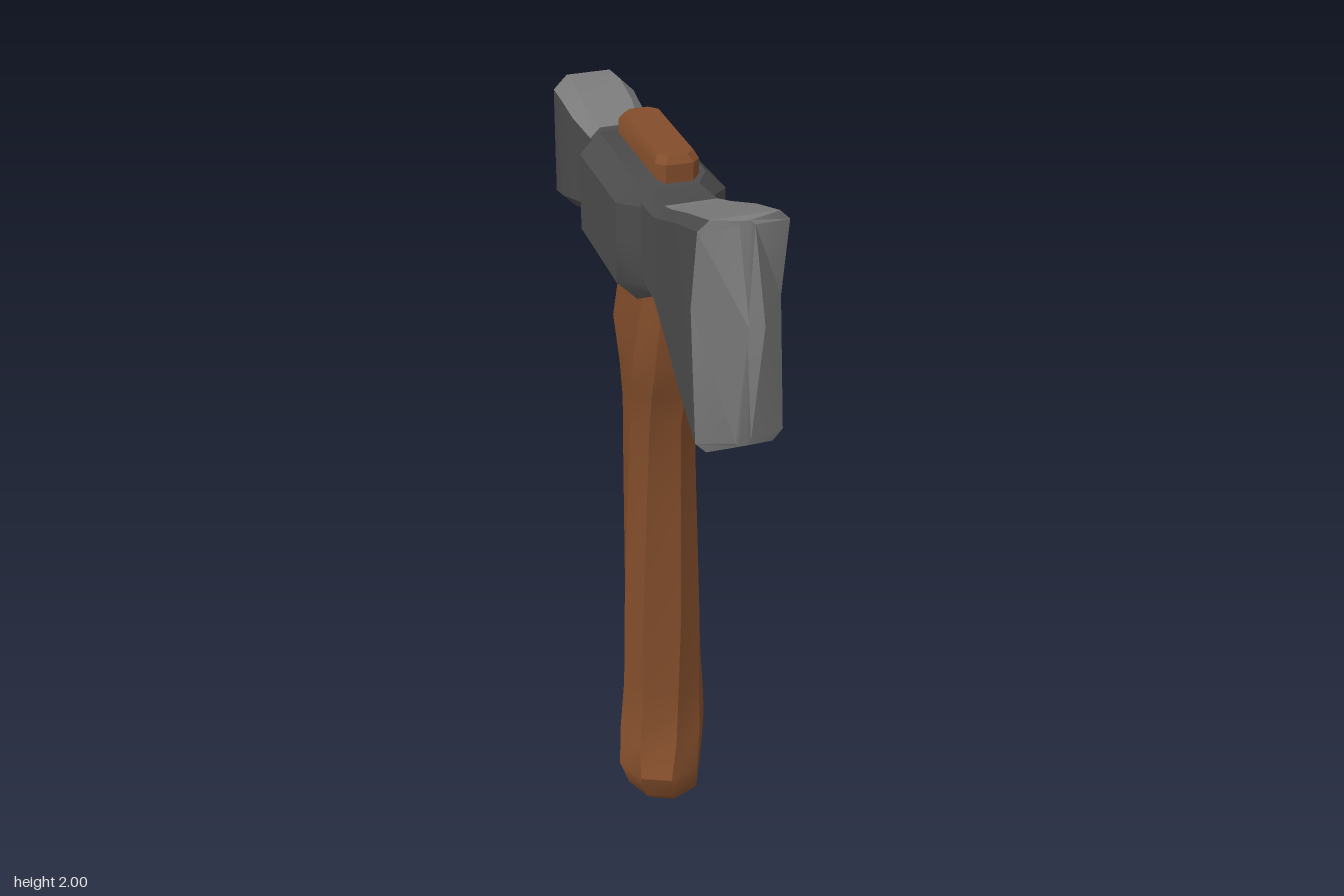
import * as THREE from 'three';
import { toCreasedNormals } from 'three/addons/utils/BufferGeometryUtils.js';

// Skin a list of equal-length rings, cap both ends; matOf(ring, edge) picks the material slot.
function loft(rings, matOf, capMats = [0, 0], crease = 0.55) {
  const n = rings[0].length, last = rings.length - 1;
  const points = rings.flat();
  const slots = [[], []];
  for (let k = 0; k < last; k++) {
    for (let i = 0; i < n; i++) {
      const j = (i + 1) % n, a = k * n + i, b = k * n + j;
      slots[matOf(k, i)].push(a, b, b + n, a, b + n, a + n);
    }
  }
  [0, last].forEach((k, end) => {
    const centre = rings[k].reduce((s, p) => s.add(p), new THREE.Vector3()).divideScalar(n);
    const c = points.push(centre) - 1;
    for (let i = 0; i < n; i++) {
      const a = k * n + i, b = k * n + (i + 1) % n;
      slots[capMats[end]].push(c, ...(end ? [a, b] : [b, a]));
    }
  });
  const geo = new THREE.BufferGeometry().setFromPoints(points);
  geo.setIndex(slots.flat());
  geo.addGroup(0, slots[0].length, 0);
  if (slots[1].length) geo.addGroup(slots[0].length, slots[1].length, 1);
  return toCreasedNormals(geo, crease);
}

// Chamfered head section across z; the z value may bow from middle height to the ends.
function headRing([zMid, hw, y0, y1, c, zTop = zMid, zLow = zMid, ym = (y0 + y1) / 2]) {
  const w = hw - c;
  return [
    [hw, ym], [hw, y1 - c], [w, y1], [-w, y1], [-hw, y1 - c],
    [-hw, ym], [-hw, y0 + c], [-w, y0], [w, y0], [hw, y0 + c],
  ].map(([x, y]) => {
    const t = y > ym ? (y - ym) / (y1 - ym) : (ym - y) / (ym - y0);
    return new THREE.Vector3(x, y, THREE.MathUtils.lerp(zMid, y > ym ? zTop : zLow, t));
  });
}

// Chamfered handle section at height y, twisted about the vertical axis.
function handleRing([y, cx, cz, hx, hz, twist, c]) {
  const s = Math.sin(twist), k = Math.cos(twist);
  const a = hx - c, b = hz - c;
  return [
    [a, hz], [hx, b], [hx, -b], [a, -hz], [-a, -hz], [-hx, -b], [-hx, b], [-a, hz],
  ].map(([x, z]) => new THREE.Vector3(cx + x * k + z * s, y, cz - x * s + z * k));
}

export function createModel() {
  const wood = new THREE.MeshStandardMaterial({ color: 0x824d2b });
  const darkSteel = new THREE.MeshStandardMaterial({ color: 0x4b4b4b });
  const brightSteel = new THREE.MeshStandardMaterial({ color: 0x7b7b7b });
  wood.name = 'wood';
  darkSteel.name = 'darkSteel';
  brightSteel.name = 'brightSteel';

  const model = new THREE.Group();
  model.name = 'axe';
  const add = (parent, name, geo, mat) => {
    const mesh = new THREE.Mesh(geo, mat);
    mesh.name = name;
    parent.add(mesh);
  };
  const plain = () => 0;

  // Handle with flared pommel, slim grip and shoulder under the head
  add(model, 'handle', loft([
    [0.00, 0.025, -0.13, 0.08, 0.15, -0.15, 0.05],
    [0.02, 0.02, -0.13, 0.095, 0.165, -0.15, 0.055],
    [0.10, 0.01, -0.133, 0.108, 0.193, -0.15, 0.065],
    [0.19, 0.01, -0.145, 0.11, 0.155, -0.13, 0.06],
    [0.35, 0.01, -0.13, 0.103, 0.128, -0.1, 0.055],
    [0.60, 0.007, -0.122, 0.1, 0.12, -0.05, 0.05],
    [1.00, 0.0, -0.11, 0.088, 0.108, 0.05, 0.045],
    [1.20, -0.003, -0.1, 0.082, 0.108, 0.1, 0.042],
    [1.30, -0.003, -0.093, 0.084, 0.125, 0.14, 0.042],
    [1.42, -0.005, -0.09, 0.088, 0.157, 0.18, 0.045],
    [1.60, 0.0, -0.088, 0.068, 0.147, 0.2, 0.04],
    [1.70, 0.0, -0.088, 0.065, 0.145, 0.2, 0.04],
  ].map(handleRing), plain, [0, 0], 0.7), wood);

  // End of the handle showing through the top of the eye
  add(model, 'handleTop', loft([
    [1.85, -0.005, -0.075, 0.053, 0.163, 0.25, 0.02],
    [1.935, -0.005, -0.075, 0.053, 0.163, 0.25, 0.02],
    [1.953, -0.005, -0.075, 0.043, 0.15, 0.25, 0.02],
  ].map(handleRing), plain), wood);

  // Head, turned slightly about the handle
  const head = new THREE.Group();
  head.name = 'head';
  head.rotation.y = 0.27;
  model.add(head);

  add(head, 'eyeBlock', loft([
    [-0.275, 0.085, 1.63, 1.88, 0.035],
    [-0.235, 0.128, 1.605, 1.9, 0.05],
    [0.065, 0.134, 1.598, 1.9, 0.05],
    [0.105, 0.085, 1.62, 1.885, 0.035],
  ].map(headRing), plain), darkSteel);

  // Blade: dark cheeks, bright top, underside and cutting bevel
  const blade = [
    [0.06, 0.085, 1.65, 1.885, 0.03],
    [0.20, 0.088, 1.635, 1.89, 0.025],
    [0.27, 0.092, 1.60, 1.912, 0.022],
    [0.40, 0.1, 1.52, 1.96, 0.022],
    [0.49, 0.104, 1.44, 2.0, 0.025, 0.53, 0.53, 1.78],
    [0.617, 0.018, 1.452, 1.993, 0.01, 0.542, 0.55, 1.78],
  ];
  const isFlat = (i) => i === 2 || i === 7;
  add(head, 'blade', loft(blade.map(headRing),
    (k, i) => (k === 4 || (k > 0 && isFlat(i)) ? 1 : 0), [0, 1]), [darkSteel, brightSteel]);

  // Hammer poll: dark block with a bright top
  const poll = [
    [-0.625, 0.03, 1.62, 1.85, 0.015],
    [-0.605, 0.075, 1.582, 1.875, 0.03],
    [-0.575, 0.092, 1.575, 1.92, 0.035],
    [-0.50, 0.096, 1.592, 1.922, 0.035],
    [-0.41, 0.092, 1.622, 1.9, 0.03],
    [-0.32, 0.075, 1.645, 1.875, 0.025],
    [-0.24, 0.078, 1.645, 1.875, 0.025],
  ];
  add(head, 'poll', loft(poll.map(headRing),
    (k, i) => (k > 0 && k < 5 && i >= 1 && i <= 3 ? 1 : 0)), [darkSteel, brightSteel]);

  return model;
}
